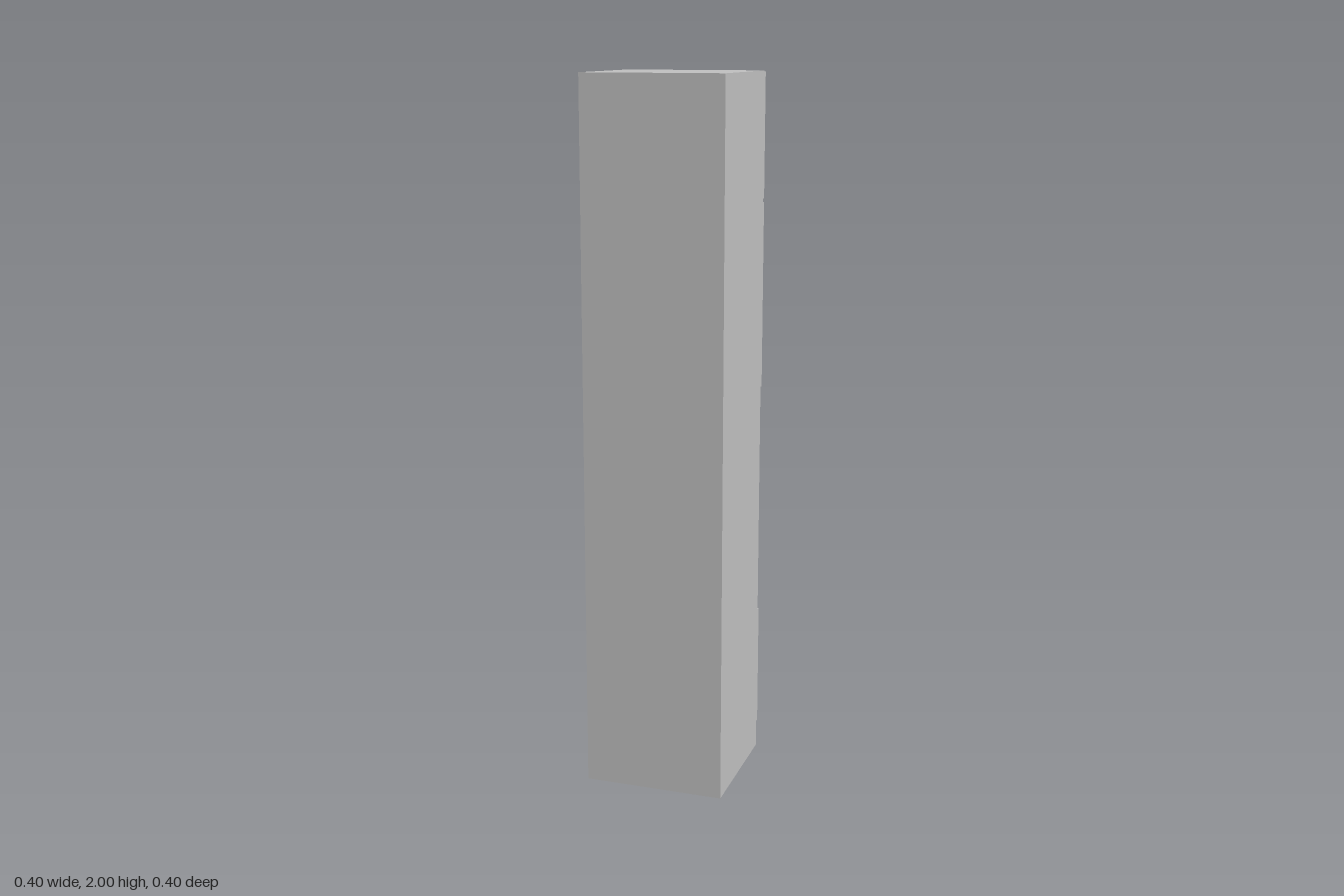
import * as THREE from 'three';

// Tall kitchen cabinet with two open niches; its doors face -z.
export function createModel() {
  const group = new THREE.Group();
  group.name = 'tallCabinet';
  const grey = new THREE.MeshStandardMaterial({ color: 0xbfbfbf });
  grey.name = 'light grey';

  // Box given by its limits on each axis
  const box = (name, [x0, x1], [y0, y1], [z0, z1]) => {
    const mesh = new THREE.Mesh(new THREE.BoxGeometry(x1 - x0, y1 - y0, z1 - z0), grey);
    mesh.name = name;
    mesh.position.set((x0 + x1) / 2, (y0 + y1) / 2, (z0 + z1) / 2);
    group.add(mesh);
  };

  const open = -0.172, back = 0.2, half = 0.2;
  const lower = { half: 0.19, y: [0.455, 0.826], depth: 0.33 };
  const upper = { half: 0.186, y: [0.856, 1.09], depth: 0.26 };

  // Carcass sections between the side panels
  const inner = [-lower.half, lower.half];
  box('baseSection', inner, [0, lower.y[0]], [open, back]);
  box('nicheShelf', inner, [lower.y[1], upper.y[0]], [open, back]);
  box('topSection', inner, [upper.y[1], 2], [open, back]);
  box('lowerNicheBack', inner, lower.y, [open + lower.depth, back]);
  box('upperNicheBack', inner, upper.y, [open + upper.depth, back]);

  // Side panels and the lining of the narrower upper niche
  for (const s of [-1, 1]) {
    const span = (a, b) => [s * a, s * b].sort((p, q) => p - q);
    box('sidePanel', span(lower.half, half), [0, 2], [open, back]);
    box('upperNicheLining', span(upper.half, lower.half), upper.y, [open, open + upper.depth]);
  }

  // Plinth and doors
  box('plinth', [-0.198, 0.198], [0, 0.07], [-0.176, open]);
  for (const [name, y0, y1] of [
    ['lowerDoor', 0.075, 0.433],
    ['middleDoor', 1.112, 1.64],
    ['topDoor', 1.65, 1.996],
  ]) box(name, [-0.198, 0.198], [y0, y1], [-0.191, open]);

  // Edge pulls: a thin plate on the door edge with a small front lip
  for (const [name, edge, dir] of [['lowerPull', 0.433, 1], ['middlePull', 1.112, -1]]) {
    const y = [edge, edge + dir * 0.004].sort((p, q) => p - q);
    box(name, [-0.133, 0.133], y, [-0.2, -0.174]);
    const lip = [edge, edge - dir * 0.006].sort((p, q) => p - q);
    box(name + 'Lip', [-0.133, 0.133], lip, [-0.2, -0.197]);
  }
  return group;
}
